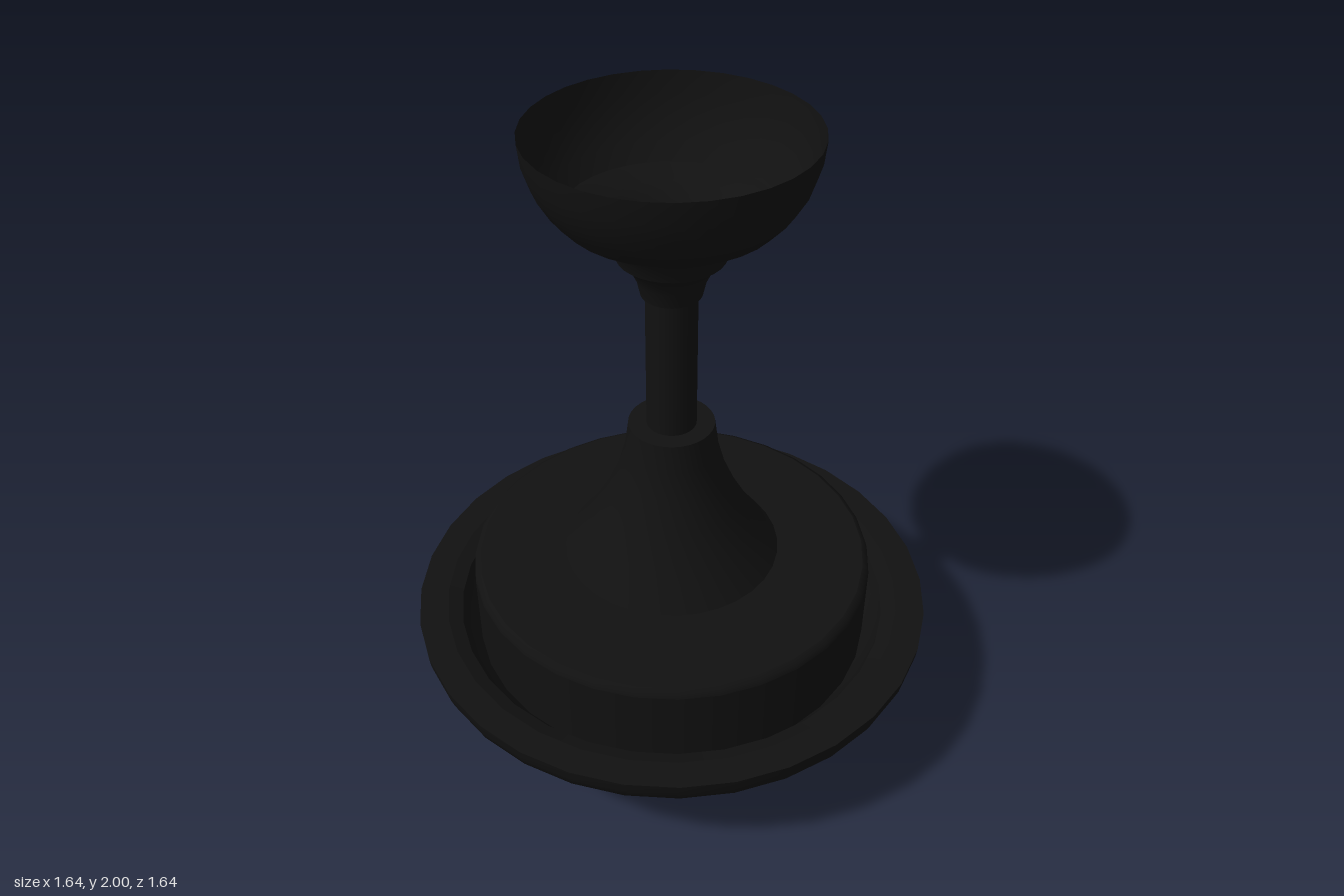
import * as THREE from 'three';

const SIDES = 32;
const black = new THREE.MeshStandardMaterial({ color: 0x111111, side: THREE.DoubleSide });

// A turned part: each section of the profile is smooth, with a sharp edge between sections.
function turned(name, sections) {
  const part = new THREE.Group();
  part.name = name;
  sections.forEach((section, i) => {
    const points = section.map(([r, y]) => new THREE.Vector2(r, y));
    const mesh = new THREE.Mesh(new THREE.LatheGeometry(points, SIDES), black);
    mesh.name = `${name}Section${i + 1}`;
    part.add(mesh);
  });
  return part;
}

export function createModel() {
  const model = new THREE.Group();
  model.name = 'ceilingFixture';

  // Shallow domed bowl at the bottom
  model.add(turned('lowerBowl', [
    [[0, 0], [0.1, 0.004], [0.22, 0.019], [0.34, 0.047], [0.45, 0.085], [0.54, 0.13],
      [0.61, 0.18], [0.655, 0.23], [0.68, 0.27]],
  ]));

  // Flared rim with a flat top and a groove around the drum
  model.add(turned('rim', [
    [[0.66, 0.268], [0.68, 0.27], [0.73, 0.28], [0.775, 0.302], [0.805, 0.338], [0.816, 0.37], [0.82, 0.405]],
    [[0.82, 0.405], [0.73, 0.402]],
    [[0.73, 0.402], [0.685, 0.385]],
    [[0.685, 0.385], [0.665, 0.34], [0.63, 0.3]],
  ]));

  // Motor drum with a softly rounded top edge
  model.add(turned('motorDrum', [
    [[0.63, 0.27], [0.63, 0.555]],
    [[0.63, 0.555], [0.625, 0.572], [0.61, 0.58]],
    [[0.61, 0.58], [0, 0.58]],
  ]));

  // Flared cone above the drum
  model.add(turned('flaredCone', [
    [[0, 0.597], [0.338, 0.597]],
    [[0.338, 0.597], [0.265, 0.695], [0.207, 0.8], [0.165, 0.9], [0.142, 0.985], [0.13, 1.075]],
    [[0.13, 1.075], [0.07, 1.075]],
  ]));

  // Hanging rod
  model.add(turned('downrod', [
    [[0.075, 0.9], [0.075, 1.53]],
    [[0.075, 1.53], [0, 1.53]],
  ]));

  // Ceiling canopy, an open shell with a stepped neck
  model.add(turned('canopy', [
    [[0, 1.52], [0.088, 1.52]],
    [[0.088, 1.52], [0.098, 1.565], [0.115, 1.6], [0.135, 1.625], [0.155, 1.64]],
    [[0.155, 1.64], [0.165, 1.675], [0.19, 1.712], [0.23, 1.745], [0.3, 1.77]],
    [[0.3, 1.77], [0.34, 1.815], [0.372, 1.87], [0.393, 1.935], [0.4, 2]],
  ]));

  return model;
}
